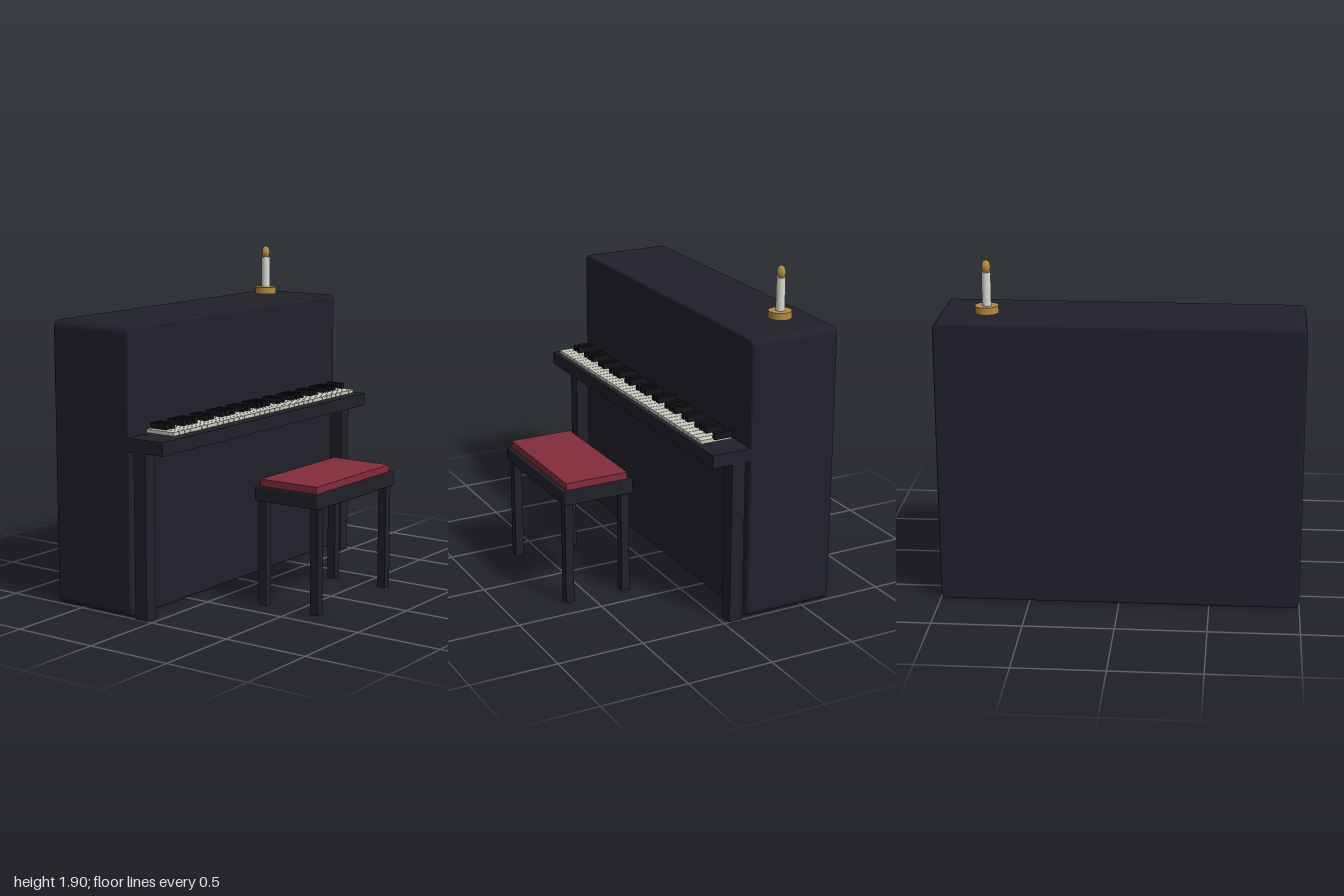
import * as THREE from 'three';

export function createModel() {
  const model = new THREE.Group();
  const mat = (name, color) => Object.assign(new THREE.MeshStandardMaterial({ color }), { name });
  const lacquer = mat('dark lacquer', 0x20202a);
  const ebony = mat('black key', 0x14141a);
  const ivory = mat('ivory', 0xcfccc2);
  const wax = mat('candle wax', 0xdcdad2);
  const brass = mat('brass', 0xb48a42);
  const velvet = mat('red velvet', 0x842c3a);

  const add = (parent, name, geometry, material, x = 0, y = 0, z = 0) => {
    const mesh = new THREE.Mesh(geometry, material);
    mesh.name = name;
    mesh.position.set(x, y, z);
    parent.add(mesh);
    return mesh;
  };
  const group = (name) => {
    const g = new THREE.Group();
    g.name = name;
    model.add(g);
    return g;
  };
  // Box given by its extents on each axis
  const box = (parent, name, material, [x0, x1], [y0, y1], [z0, z1]) =>
    add(parent, name, new THREE.BoxGeometry(x1 - x0, y1 - y0, z1 - z0), material,
      (x0 + x1) / 2, (y0 + y1) / 2, (z0 + z1) / 2);
  // Rounded rectangle, centred, extruded along z with a bevelled edge
  const roundedSlab = (w, h, d, r, bevel) => {
    const a = w / 2 - bevel, b = h / 2 - bevel, c = r - bevel;
    const s = new THREE.Shape();
    s.absarc(a - c, b - c, c, 0, Math.PI / 2);
    s.absarc(-a + c, b - c, c, Math.PI / 2, Math.PI);
    s.absarc(-a + c, -b + c, c, Math.PI, Math.PI * 1.5);
    s.absarc(a - c, -b + c, c, Math.PI * 1.5, Math.PI * 2);
    s.closePath();
    return new THREE.ExtrudeGeometry(s, {
      depth: d - 2 * bevel, bevelEnabled: true, bevelSize: bevel,
      bevelThickness: bevel, bevelSegments: 3, curveSegments: 6,
    }).translate(0, 0, bevel - d / 2);
  };

  // Upright piano case, key shelf and its two legs
  const piano = group('piano');
  add(piano, 'case', roundedSlab(2, 1.6, 0.53, 0.04, 0.015), lacquer, 0, 0.8, -0.409);
  box(piano, 'keyShelf', lacquer, [-1, 1], [0.925, 1], [-0.16, 0.085]);
  for (const s of [-1, 1])
    box(piano, 'shelfLeg', lacquer, [s * 0.96 - 0.04, s * 0.96 + 0.04], [0, 0.925], [-0.114, -0.034]);

  // Keyboard: 36 white keys, black keys in the usual groups of two and three
  const keyboard = group('keyboard');
  const pitch = 1.775 / 36, start = -0.905;
  for (let i = 0; i < 36; i++) {
    const x = start + i * pitch;
    box(keyboard, 'whiteKey', ivory, [x + 0.002, x + pitch - 0.002], [1.02, 1.04], [-0.102, 0.084]);
    if ([0, 1, 3, 4, 5].includes(i % 7)) {
      const e = x + pitch;
      box(keyboard, 'blackKey', ebony, [e - 0.014, e + 0.014], [1.035, 1.072], [-0.102, 0.008]);
    }
  }

  // Bench with four legs and a cushion
  const bench = group('bench');
  const cz = 0.46;
  add(bench, 'benchSeat', roundedSlab(0.8, 0.425, 0.08, 0.015, 0.005).rotateX(-Math.PI / 2),
    lacquer, 0, 0.64, cz);
  box(bench, 'cushion', velvet, [-0.373, 0.373], [0.67, 0.72], [cz - 0.187, cz + 0.187]);
  for (const x of [-0.35, 0.35])
    for (const z of [cz - 0.173, cz + 0.173])
      box(bench, 'benchLeg', lacquer, [x - 0.025, x + 0.025], [0, 0.605], [z - 0.025, z + 0.025]);

  // Candle on a brass dish
  const candle = group('candle');
  candle.position.set(0.73, 0, -0.475);
  add(candle, 'candleDish', new THREE.CylinderGeometry(0.065, 0.065, 0.04, 24), brass, 0, 1.63, 0);
  add(candle, 'candleStick', new THREE.CylinderGeometry(0.025, 0.025, 0.185, 24), wax, 0, 1.7425, 0);
  add(candle, 'flame', new THREE.SphereGeometry(0.025, 20, 14).scale(1, 1.5, 1), brass, 0, 1.8625, 0);

  return model;
}
